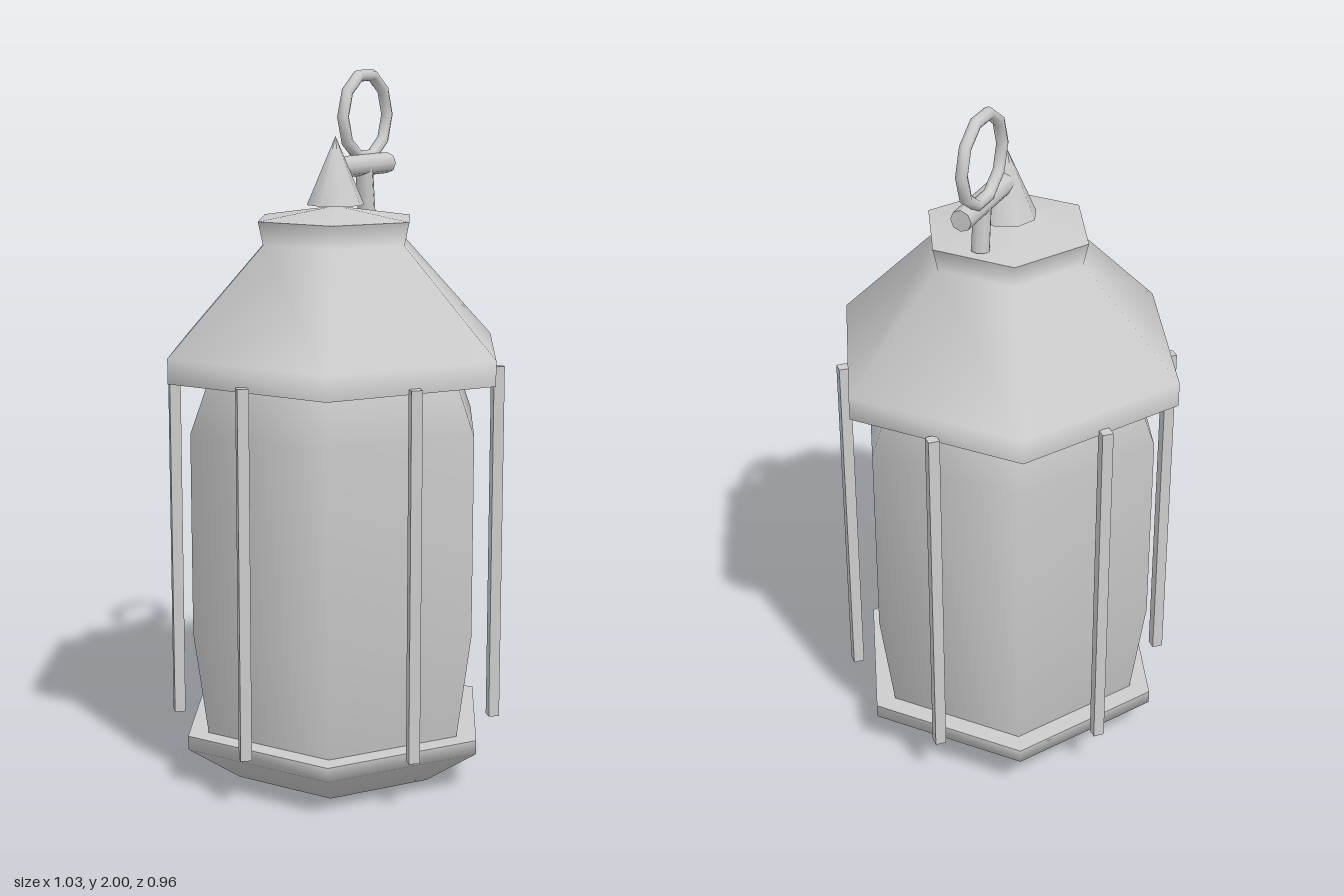
import * as THREE from 'three';

export function createModel() {
  const model = new THREE.Group();
  model.name = 'lantern';
  const grey = new THREE.MeshStandardMaterial({ color: 0xcccccc });
  grey.name = 'plain grey';

  const add = (name, geometry, x = 0, y = 0, z = 0) => {
    const mesh = new THREE.Mesh(geometry, grey);
    mesh.name = name;
    mesh.position.set(x, y, z);
    model.add(mesh);
    return mesh;
  };

  // Six-sided shell with corners on the x axis; profile runs [radius, height]
  const hexShell = (name, profile) => add(name, new THREE.LatheGeometry(
    profile.map(([r, y]) => new THREE.Vector2(r, y)), 6, Math.PI / 2));

  // Base tray
  hexShell('base', [[0, 0], [0.31, 0], [0.47, 0.11], [0.47, 0.15]]);
  hexShell('baseTop', [[0.47, 0.15], [0, 0.15]]);

  // Bulging lamp body
  hexShell('body', [[0.405, 0.14], [0.45, 0.45], [0.45, 1.02], [0.39, 1.175]]);

  // Roof: underside, sloping skirt with neck, shallow cap
  hexShell('roofUnderside', [[0, 1.165], [0.515, 1.165]]);
  hexShell('roof', [[0.515, 1.165], [0.515, 1.235], [0.225, 1.53], [0.24, 1.595]]);
  hexShell('roofCap', [[0.24, 1.595], [0, 1.63]]);

  // Six square rods around the body
  for (let i = 0; i < 6; i++) {
    const a = Math.PI / 6 + i * Math.PI / 3;
    const rod = new THREE.CylinderGeometry(0.022, 0.022, 1.035, 4).toNonIndexed();
    rod.computeVertexNormals();
    add('rod', rod, 0.46 * Math.cos(a), 0.6625, 0.46 * Math.sin(a));
  }

  // Pointed finial
  add('finial', new THREE.ConeGeometry(0.082, 0.19, 8), 0, 1.728, 0);

  // Hanger: leaning post, crossbar and ring
  const post = add('hangerPost', new THREE.CylinderGeometry(0.026, 0.026, 0.14, 8), 0, 1.67, -0.158);
  post.rotation.x = 0.11;
  const bar = add('hangerBar', new THREE.CylinderGeometry(0.03, 0.03, 0.27, 8), 0, 1.735, -0.143);
  bar.rotation.x = Math.PI / 2;
  const ring = add('hangerRing', new THREE.TorusGeometry(0.119, 0.017, 8, 10), -0.017, 1.872, -0.185);
  ring.rotation.y = Math.PI / 2;

  return model;
}
